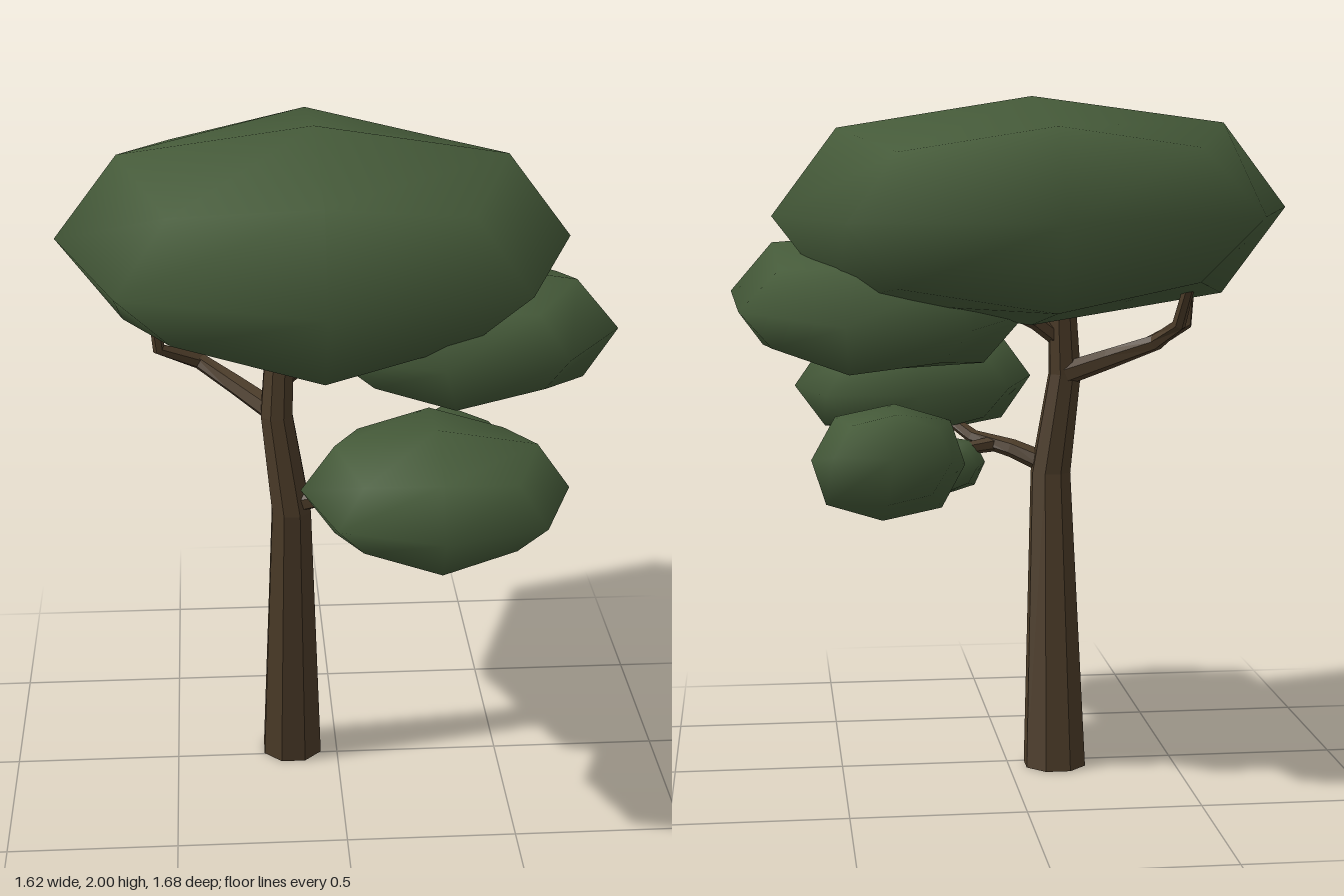
import * as THREE from 'three';
import { mergeVertices } from 'three/addons/utils/BufferGeometryUtils.js';

const V = (p) => new THREE.Vector3(...p);

// Cube split once and rounded, then skewed onto three half-axes
function leafClump(name, material, center, a, u, b) {
  const geo = new THREE.BoxGeometry(2, 2, 2, 2, 2, 2);
  geo.deleteAttribute('normal');
  geo.deleteAttribute('uv');
  const pos = geo.attributes.position;
  const factor = [0, 1, 0.75, 0.556]; // face centre, edge middle, corner
  const p = new THREE.Vector3();
  for (let i = 0; i < pos.count; i++) {
    p.fromBufferAttribute(pos, i);
    const n = Math.round(Math.abs(p.x) + Math.abs(p.y) + Math.abs(p.z));
    p.multiplyScalar(factor[n]);
    pos.setXYZ(i, p.x, p.y, p.z);
  }
  geo.applyMatrix4(new THREE.Matrix4().makeBasis(V(a), V(u), V(b)).setPosition(V(center)));
  const merged = mergeVertices(geo, 1e-4);
  merged.computeVertexNormals();
  const mesh = new THREE.Mesh(merged, material);
  mesh.name = name;
  return mesh;
}

// Tapered limb through points [x, y, z, radius]; flat rings for the trunk
function limb(name, material, points, sides, levelRings = false) {
  const centers = points.map(([x, y, z]) => new THREE.Vector3(x, y, z));
  const verts = [];
  const index = [];
  const last = points.length - 1;
  const up = new THREE.Vector3(0, 1, 0);
  const side = new THREE.Vector3(0, 0, 1);
  centers.forEach((c, i) => {
    const dir = levelRings ? up.clone()
      : centers[Math.min(i + 1, last)].clone().sub(centers[Math.max(i - 1, 0)]).normalize();
    const e1 = side.clone().addScaledVector(dir, -side.dot(dir)).normalize();
    const e2 = dir.clone().cross(e1);
    for (let k = 0; k < sides; k++) {
      const t = ((k + 0.5) / sides) * Math.PI * 2;
      const v = c.clone()
        .addScaledVector(e1, Math.cos(t) * points[i][3])
        .addScaledVector(e2, Math.sin(t) * points[i][3]);
      verts.push(v.x, v.y, v.z);
    }
  });
  for (let i = 0; i < last; i++) {
    for (let k = 0; k < sides; k++) {
      const a = i * sides + k;
      const b = i * sides + ((k + 1) % sides);
      index.push(a, b, b + sides, a, b + sides, a + sides);
    }
  }
  // End caps
  for (let k = 1; k < sides - 1; k++) {
    const t = last * sides;
    index.push(0, k + 1, k, t, t + k, t + k + 1);
  }
  const geo = new THREE.BufferGeometry();
  geo.setAttribute('position', new THREE.Float32BufferAttribute(verts, 3));
  geo.setIndex(index);
  geo.computeVertexNormals();
  const mesh = new THREE.Mesh(geo, material);
  mesh.name = name;
  return mesh;
}

export function createModel() {
  const bark = new THREE.MeshStandardMaterial({ color: 0x4b3b28, flatShading: true });
  const leaves = new THREE.MeshStandardMaterial({ color: 0x455a39 });

  const tree = new THREE.Group();
  tree.name = 'tree';

  // Trunk leans forward, then bends toward the crown
  const wood = new THREE.Group();
  wood.name = 'wood';
  wood.add(limb('trunk', bark, [
    [-0.14, 0, -0.04, 0.096],
    [-0.14, 0.88, 0.065, 0.062],
    [-0.18, 1.18, 0.05, 0.05],
    [-0.165, 1.48, 0.03, 0.04],
  ], 8, true));

  // Branches
  const branches = {
    backBranch: [[-0.18, 1.18, 0.04, 0.036], [-0.3, 1.235, -0.06, 0.03], [-0.42, 1.29, -0.15, 0.024],
      [-0.47, 1.35, -0.24, 0.02], [-0.49, 1.46, -0.28, 0.017]],
    backBranchFork: [[-0.4, 1.28, -0.135, 0.024], [-0.52, 1.34, -0.09, 0.02], [-0.53, 1.46, -0.08, 0.018]],
    frontBranch: [[-0.14, 0.9, 0.06, 0.034], [-0.03, 0.945, 0.12, 0.028], [0.08, 0.97, 0.2, 0.022],
      [0.2, 1.05, 0.38, 0.016]],
    lowerTwig: [[0.02, 0.955, 0.155, 0.024], [0.14, 0.94, 0.13, 0.018], [0.3, 0.94, 0.05, 0.015]],
    upperBranch: [[-0.17, 1.28, 0.04, 0.028], [-0.09, 1.34, 0.03, 0.026], [0, 1.38, 0, 0.022],
      [0.15, 1.41, -0.02, 0.018]],
  };
  for (const [name, points] of Object.entries(branches)) wood.add(limb(name, bark, points, 6));
  tree.add(wood);

  // Leaf clumps: centre, then half-axes across, up and forward
  const foliage = new THREE.Group();
  foliage.name = 'foliage';
  const clumps = [
    ['crown', [-0.06, 1.67, -0.103], [0.75, -0.01, 0], [0, 0.33, 0], [0, 0.005, 0.735]],
    ['upperSideClump', [0.385, 1.405, -0.03], [0.425, 0.03, 0.105], [-0.02, 0.2, 0], [-0.11, 0.035, 0.44]],
    ['frontClump', [0.245, 1.117, 0.463], [0.375, -0.01, -0.01], [0, 0.175, 0], [-0.01, 0.005, 0.375]],
    ['lowerSideClump', [0.355, 0.93, -0.02], [0.228, 0.01, 0], [-0.02, 0.17, 0.03], [0, -0.05, 0.27]],
    ['smallClump', [0.18, 0.89, 0.15], [0.13, -0.01, 0], [0, 0.09, 0], [0, 0, 0.12]],
  ];
  for (const [name, ...shape] of clumps) foliage.add(leafClump(name, leaves, ...shape));
  tree.add(foliage);

  return tree;
}
